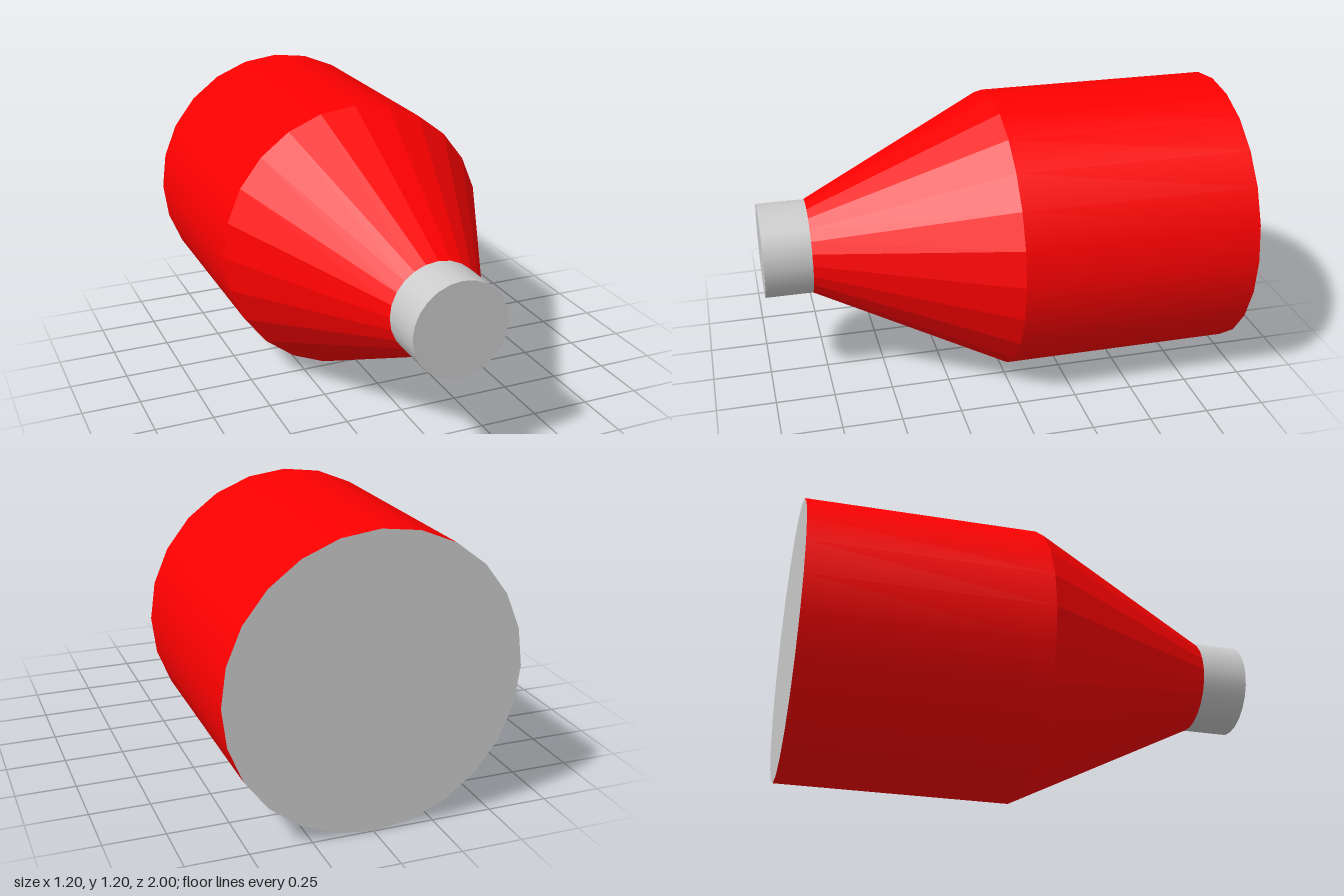
import * as THREE from 'three';

const SIDES = 24;
const AXIS_Y = 0.6;

export function createModel() {
  const model = new THREE.Group();
  const red = new THREE.MeshStandardMaterial({ color: 0xff0000 });
  const redFaceted = new THREE.MeshStandardMaterial({ color: 0xff0000, flatShading: true });
  const grey = new THREE.MeshStandardMaterial({ color: 0xcccccc });

  const add = (name, geometry, material, z) => {
    const mesh = new THREE.Mesh(geometry, material);
    mesh.name = name;
    mesh.position.set(0, AXIS_Y, z);
    model.add(mesh);
    return mesh;
  };

  // Round section lying along z, from zBack to zFront
  const section = (name, rFront, rBack, zBack, zFront, material, open) =>
    add(name,
      new THREE.CylinderGeometry(rFront, rBack, zFront - zBack, SIDES, 1, open).rotateX(Math.PI / 2),
      material, (zBack + zFront) / 2);

  section('body', 0.6, 0.6, -1, 0, red, true);
  section('taper', 0.2, 0.6, 0, 0.8, redFaceted, true);
  section('neck', 0.2, 0.2, 0.8, 1, grey, false);

  // Flat disc closing the back of the body
  add('backCap', new THREE.CircleGeometry(0.6, SIDES).rotateY(Math.PI), grey, -1);

  return model;
}
